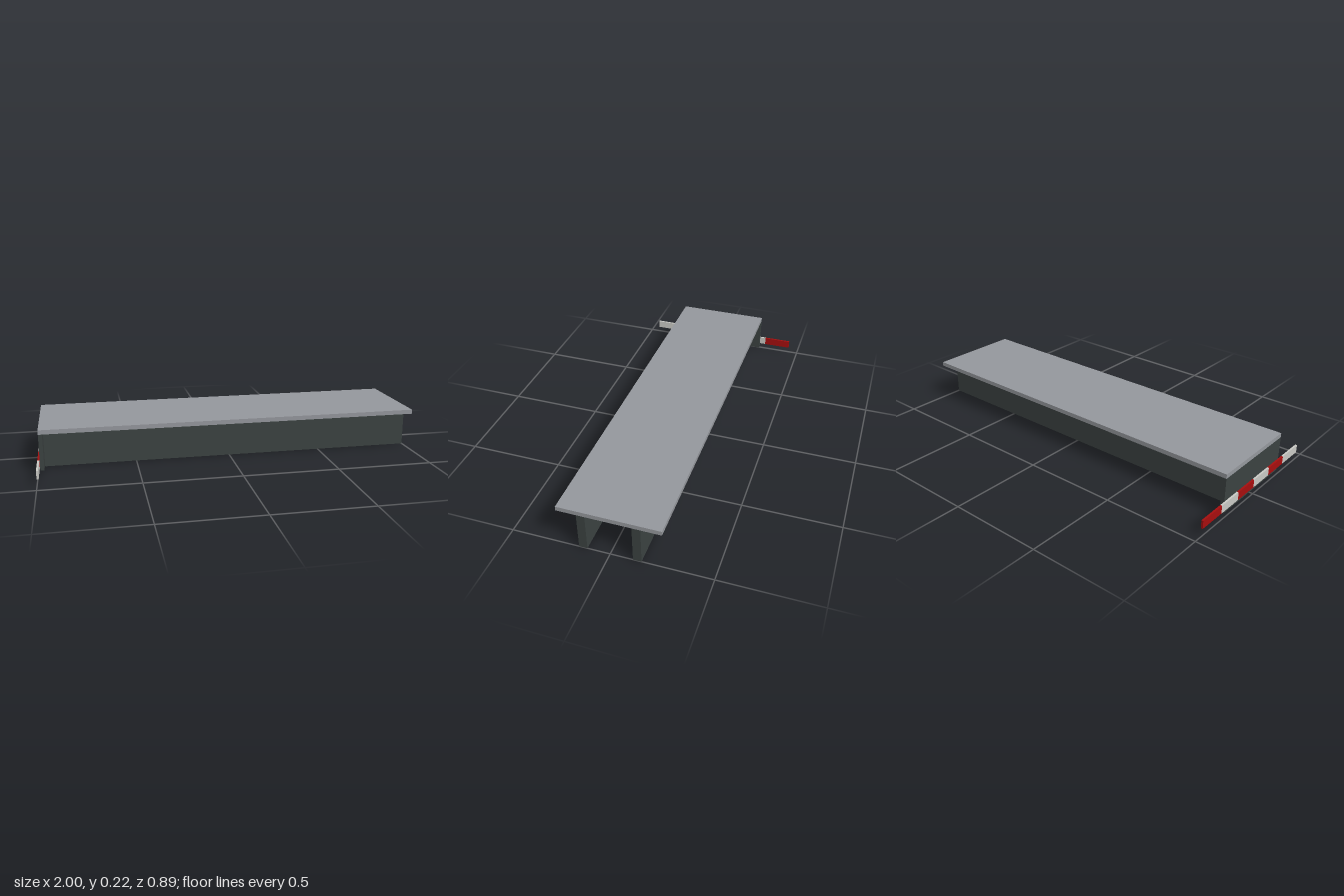
import * as THREE from 'three';

const material = (name, color) => {
  const m = new THREE.MeshStandardMaterial({ color });
  m.name = name;
  return m;
};

export function createModel() {
  const deckGrey = material('deck grey', 0x94979c);
  const frameGrey = material('dark frame grey', 0x3b4241);
  const red = material('warning red', 0xa50e0e);
  const white = material('warning white', 0xc9c9c4);

  const model = new THREE.Group();
  model.name = 'flatDeck';

  // Box given by its minimum and maximum corners
  const box = (name, mat, [x0, y0, z0], [x1, y1, z1]) => {
    const mesh = new THREE.Mesh(new THREE.BoxGeometry(x1 - x0, y1 - y0, z1 - z0), mat);
    mesh.position.set((x0 + x1) / 2, (y0 + y1) / 2, (z0 + z1) / 2);
    mesh.name = name;
    model.add(mesh);
  };

  // Deck plate and the cross plate closing one end
  box('deck', deckGrey, [-0.99, 0.201, -0.255], [1, 0.224, 0.257]);
  box('endPlate', frameGrey, [-0.99, 0.014, -0.255], [-0.97, 0.201, 0.257]);

  // Two long beams under the deck
  for (const [name, z] of [['rearBeam', -0.133], ['frontBeam', 0.135]]) {
    box(name, frameGrey, [-0.97, 0, z - 0.021], [1, 0.201, z + 0.021]);
  }

  // Striped warning bar across the end plate
  const edges = [-0.445, -0.29, -0.145, 0, 0.145, 0.29, 0.445];
  for (let i = 0; i < 6; i++) {
    box(`warningStripe${i + 1}`, i % 2 ? white : red,
      [-1, 0.036, edges[i]], [-0.99, 0.079, edges[i + 1]]);
  }

  return model;
}
